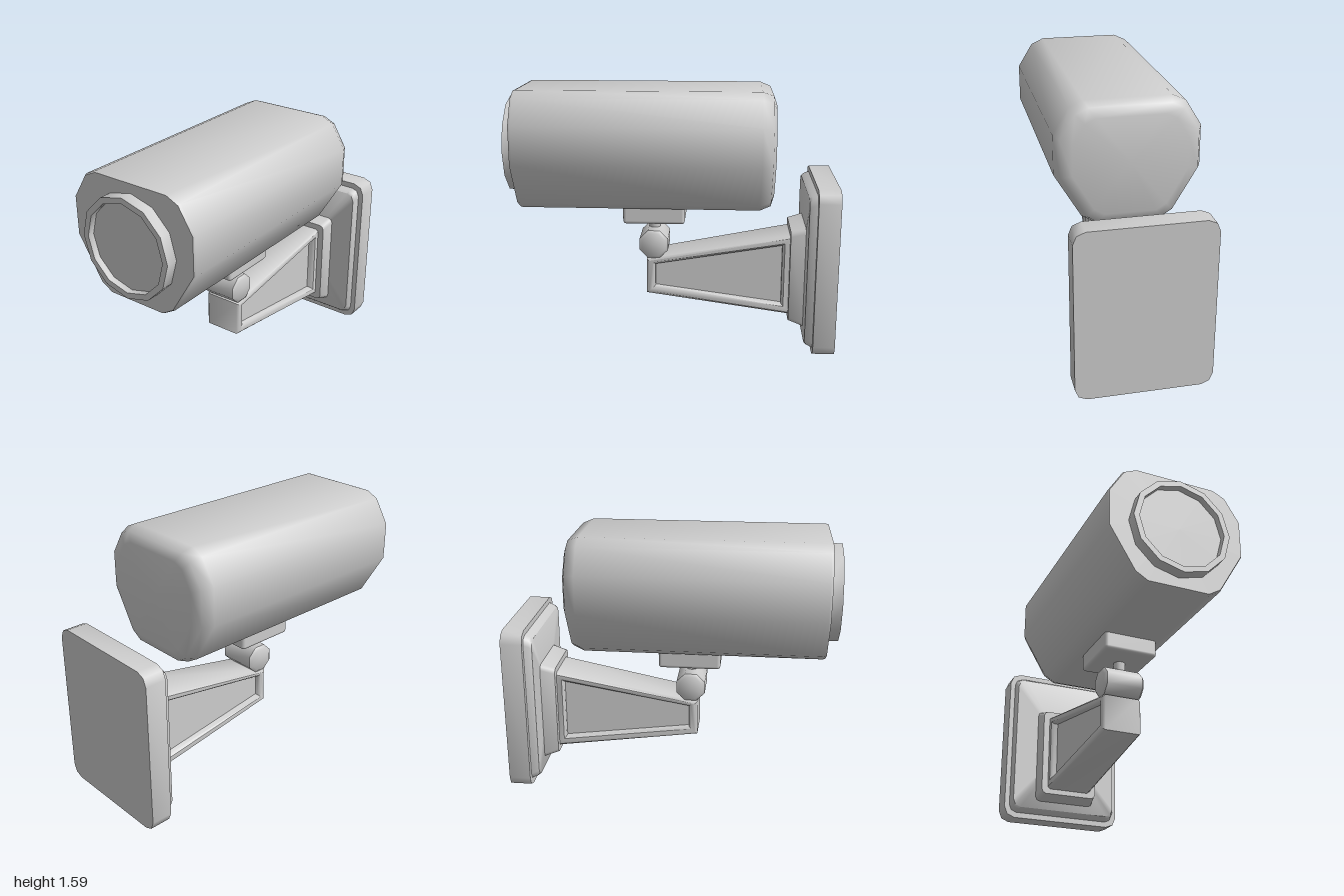
import * as THREE from 'three';
import { toCreasedNormals } from 'three/addons/utils/BufferGeometryUtils.js';
import { RoundedBoxGeometry } from 'three/addons/geometries/RoundedBoxGeometry.js';

// Skin a list of sections { x, ring: [[z, y], ...] } along x and cap both ends.
function loft(sections, crease) {
  const pos = [], idx = [], n = sections[0].ring.length, last = sections.length - 1;
  for (const { x, ring } of sections) for (const [z, y] of ring) pos.push(x, y, z);
  for (let i = 0; i < last; i++) {
    for (let j = 0; j < n; j++) {
      const a = i * n + j, b = i * n + (j + 1) % n;
      idx.push(a, b, b + n, a, b + n, a + n);
    }
  }
  for (const i of [0, last]) {
    const { x, ring } = sections[i], c = pos.length / 3;
    const midY = ring.reduce((s, p) => s + p[1], 0) / n;
    pos.push(x, midY, 0);
    for (let j = 0; j < n; j++) {
      const a = i * n + j, b = i * n + (j + 1) % n;
      if (i === 0) idx.push(c, b, a);
      else idx.push(c, a, b);
    }
  }
  const g = new THREE.BufferGeometry();
  g.setAttribute('position', new THREE.Float32BufferAttribute(pos, 3));
  g.setIndex(idx);
  return toCreasedNormals(g, crease);
}

// Rectangle with rounded corners in the z-y plane.
function roundedRect(halfZ, y0, y1, r) {
  const ring = [];
  const corners = [[1, 1], [1, -1], [-1, -1], [-1, 1]];
  corners.forEach(([sz, sy], k) => {
    for (let s = 0; s <= 2; s++) {
      const a = (k + s / 2) * Math.PI / 2;
      const cy = sy > 0 ? y1 - r : y0 + r;
      ring.push([sz * (halfZ - r) + r * Math.sin(a), cy + r * Math.cos(a)]);
    }
  });
  return ring;
}

// Slab from rows of [x, halfZ, y0, y1, cornerRadius].
const slab = rows => loft(rows.map(([x, ...r]) => ({ x, ring: roundedRect(...r) })), 0.85);

const polygon = pts => pts.map(p => new THREE.Vector2(...p));

export function createModel() {
  const group = new THREE.Group();
  const grey = new THREE.MeshStandardMaterial({ color: 0xcccccc });
  grey.name = 'light grey';
  const add = (name, geometry) => {
    const mesh = new THREE.Mesh(geometry, grey);
    mesh.name = name;
    group.add(mesh);
    return mesh;
  };

  // Camera housing: eight-sided section, softened corners, rounded rear
  const half = [[0.25, 1.59], [0.328, 1.554], [0.42, 1.405], [0.42, 1.172], [0.265, 0.91], [0.19, 0.865]];
  const outline = [...half, ...half.map(([z, y]) => [-z, y]).reverse()];
  const midY = 1.2275;
  const profile = [[-0.93, 0.985], [-0.915, 1], [0.535, 1], [0.6, 0.93], [0.62, 0.78]];
  add('housing', loft(profile.map(([x, s]) => ({
    x, ring: outline.map(([z, y]) => [z * s, midY + (y - midY) * s]),
  })), 0.95));

  // Lens ring with a recessed face
  const ring = new THREE.LatheGeometry(
    polygon([[0.3, -0.02], [0.3, 0.07], [0.265, 0.07], [0.265, 0.03], [0, 0.03]]), 12);
  ring.rotateZ(Math.PI / 2).translate(-0.93, 1.23, 0);
  add('lensRing', toCreasedNormals(ring, 0.6));

  // Mounting block under the housing
  add('mountBlock', new RoundedBoxGeometry(0.38, 0.12, 0.34, 2, 0.02)).position.set(-0.11, 0.82, 0);

  // Neck and swivel joint
  add('neck', new THREE.CylinderGeometry(0.036, 0.036, 0.12, 10)).position.set(-0.115, 0.73, 0);
  const joint = new THREE.LatheGeometry(
    polygon([[0, -0.13], [0.077, -0.13], [0.096, -0.115], [0.096, 0.115], [0.077, 0.13], [0, 0.13]]), 8);
  joint.rotateY(Math.PI / 8).rotateX(Math.PI / 2).translate(-0.115, 0.615, 0);
  add('swivelJoint', toCreasedNormals(joint, 0.8));

  // Tapered arm: open frame and a thinner web, both widening toward the wall
  const widen = g => {
    const p = g.attributes.position;
    for (let i = 0; i < p.count; i++) p.setZ(i, p.getZ(i) * (1 + 0.22 * (p.getX(i) + 0.16)));
    return toCreasedNormals(g, 0.85);
  };
  const frame = new THREE.Shape(polygon([[-0.16, 0.295], [0.76, 0.176], [0.76, 0.696], [-0.16, 0.52]]));
  frame.holes.push(new THREE.Path(polygon([[-0.105, 0.345], [-0.105, 0.487], [0.685, 0.628], [0.685, 0.247]])));
  add('armFrame', widen(new THREE.ExtrudeGeometry(frame, {
    depth: 0.22, bevelThickness: 0.015, bevelSize: 0.015, bevelOffset: -0.015, bevelSegments: 1,
  }).translate(0, 0, -0.11)));
  const web = new THREE.Shape(polygon([[-0.13, 0.33], [0.71, 0.23], [0.71, 0.645], [-0.13, 0.495]]));
  add('armWeb', widen(new THREE.ExtrudeGeometry(web, { depth: 0.18, bevelEnabled: false }).translate(0, 0, -0.09)));

  // Stepped wall mount
  add('armCollar', slab([[0.73, 0.19, 0.147, 0.728, 0.03], [0.83, 0.204, 0.112, 0.757, 0.03]]));
  add('innerPlate', slab([[0.82, 0.355, 0.062, 0.975, 0.05], [0.835, 0.362, 0.05, 0.987, 0.05],
    [0.88, 0.37, 0.03, 1.004, 0.05]]));
  add('wallPlate', slab([[0.868, 0.4, 0, 1.034, 0.07], [1, 0.4, 0, 1.034, 0.07]]));

  return group;
}
